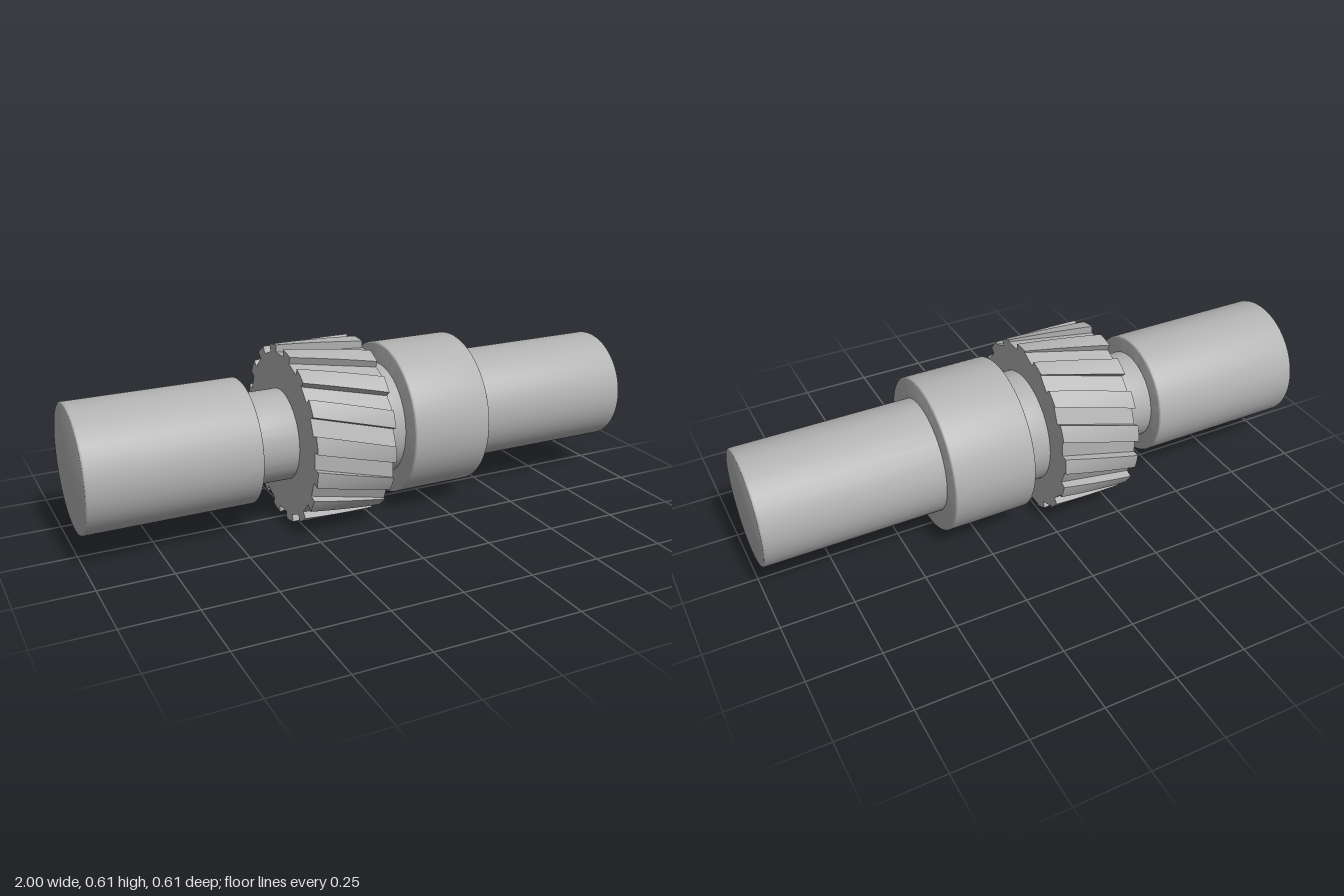
import * as THREE from 'three';
import { mergeGeometries, toCreasedNormals } from 'three/addons/utils/BufferGeometryUtils.js';
import { ParametricGeometry } from 'three/addons/geometries/ParametricGeometry.js';

const steel = new THREE.MeshStandardMaterial({ color: 0xb3b3b3 });
steel.name = 'steel grey';

const TEETH = 16, R = 0.307, FLOOR = 0.28, HALF = 0.03; // cutter radius, slot floor, half slot width
const X0 = -0.28, X1 = 0.003, SKEW = 0.078;             // cutter ends and sideways run of each slot
const PITCH = (Math.PI * 2) / TEETH;

// Turned section along x with slightly rounded rims
function drum(name, x0, x1, r, b = 0.006) {
  const pts = [new THREE.Vector2(0, x0)];
  for (let i = 0; i <= 3; i++) {
    const a = (i / 3) * Math.PI / 2;
    pts.push(new THREE.Vector2(r - b + b * Math.sin(a), x0 + b - b * Math.cos(a)));
  }
  for (let i = 0; i <= 3; i++) {
    const a = (i / 3) * Math.PI / 2;
    pts.push(new THREE.Vector2(r - b + b * Math.cos(a), x1 - b + b * Math.sin(a)));
  }
  pts.push(new THREE.Vector2(0, x1));
  const geo = toCreasedNormals(new THREE.LatheGeometry(pts, 96).rotateZ(-Math.PI / 2), 0.6);
  const mesh = new THREE.Mesh(geo, steel);
  mesh.name = name;
  return mesh;
}

const rim = (z) => [z, Math.sqrt(R * R - z * z)];

// Slot corners [z, y] at fraction v along the cutter, before turning to its place
function slot(v) {
  const c = v * SKEW;
  return [rim(c - HALF), [c - HALF, FLOOR], [c + HALF, FLOOR], rim(c + HALF)];
}

// Land between one slot and the next, as a point [z, y] on the rim
function land(u, v) {
  const c = v * SKEW;
  const a = Math.asin((c + HALF) / R), b = Math.asin((c - HALF) / R) + PITCH;
  const t = a + (b - a) * u;
  return [R * Math.sin(t), R * Math.cos(t)];
}

function turn([z, y], k) {
  const c = Math.cos(k * PITCH), s = Math.sin(k * PITCH);
  return [z * c + y * s, y * c - z * s];
}

// Flat end face of the cutter
function endFace(v) {
  const side = v === 0 ? 1 : -1;
  const pts = [];
  for (let k = 0; k < TEETH; k++) {
    const ring = slot(v);
    for (let i = 1; i < 6; i++) ring.push(land(i / 6, v));
    ring.forEach((p) => {
      const [z, y] = turn(p, k);
      pts.push(new THREE.Vector2(side * z, y));
    });
  }
  return new THREE.ShapeGeometry(new THREE.Shape(pts))
    .rotateY(-side * Math.PI / 2)
    .translate(v === 0 ? X0 : X1, 0, 0);
}

// Toothed cutter with skewed straight slots
function cutter() {
  const parts = [endFace(0), endFace(1)];
  const strip = (fn, k, nu) => parts.push(new ParametricGeometry((u, v, target) => {
    const [z, y] = turn(fn(u, v), k);
    target.set(X0 + (X1 - X0) * v, y, z);
  }, nu, 10));
  for (let k = 0; k < TEETH; k++) {
    for (let i = 0; i < 3; i++) {
      strip((u, v) => {
        const s = slot(v), a = s[i], b = s[i + 1];
        return [a[0] + (b[0] - a[0]) * u, a[1] + (b[1] - a[1]) * u];
      }, k, 1);
    }
    strip(land, k, 6);
  }
  const mesh = new THREE.Mesh(mergeGeometries(parts), steel);
  mesh.name = 'toothedCutter';
  return mesh;
}

export function createModel() {
  const group = new THREE.Group();
  group.name = 'shaftWithCutter';
  group.add(
    drum('rightJournal', -1, -0.425, 0.215),
    drum('neck', -0.44, -0.27, 0.157),
    cutter(),
    drum('spacer', -0.01, 0.11, 0.197),
    drum('collar', 0.095, 0.385, 0.27),
    drum('leftJournal', 0.37, 1, 0.198),
  );
  group.children.forEach((m) => { m.position.y = R; });
  return group;
}
